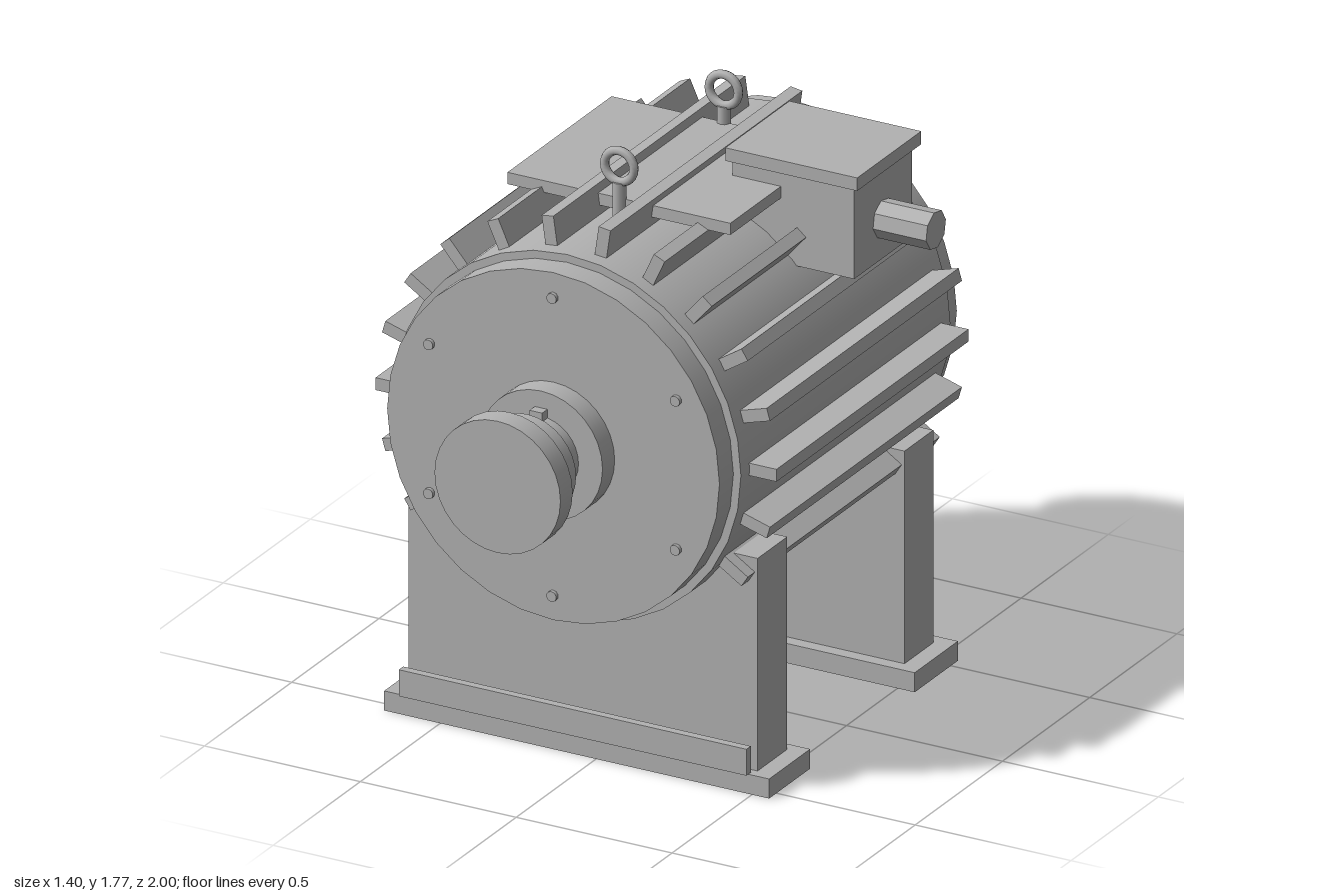
import * as THREE from 'three';

const CX = -0.06, CY = 1.0; // motor axis

export function createModel() {
  const model = new THREE.Group();
  const castGrey = new THREE.MeshStandardMaterial({ color: 0xb2b2b2 });
  castGrey.name = 'castGrey';

  const add = (name, geometry, parent = model) => {
    const mesh = new THREE.Mesh(geometry, castGrey);
    mesh.name = name;
    parent.add(mesh);
    return mesh;
  };
  // Box given by its extents
  const box = (name, x0, x1, y0, y1, z0, z1) =>
    add(name, new THREE.BoxGeometry(x1 - x0, y1 - y0, z1 - z0))
      .position.set((x0 + x1) / 2, (y0 + y1) / 2, (z0 + z1) / 2);
  // Cylinder along z
  const drum = (name, x, y, z0, z1, r, sides = 32) =>
    add(name, new THREE.CylinderGeometry(r, r, Math.abs(z1 - z0), sides).rotateX(Math.PI / 2))
      .position.set(x, y, (z0 + z1) / 2);

  // Housing and end shields
  drum('housing', CX, CY, -0.6, 0.6, 0.557);
  for (const s of [1, -1]) {
    drum('endShield', CX, CY, s * 0.59, s * 0.68, 0.533);
    drum('bearingCap', CX, CY, s * 0.67, s * 0.75, 0.197);
    drum('shaft', CX, CY, s * 0.74, s * 0.84, 0.12);
    drum('couplingHub', CX, CY, s * 0.83, s * 0.94, 0.157);
    drum('couplingFlange', CX, CY, s * 0.93, s * 1.0, 0.202);
    // Shaft key
    const k = [s * 0.74, s * 0.78].sort((a, b) => a - b);
    box('shaftKey', CX - 0.02, CX + 0.02, CY + 0.1, CY + 0.145, k[0], k[1]);
    // Bolts around the shield and behind the coupling flange
    for (let i = 0; i < 6; i++) {
      const a = Math.PI / 6 + i * Math.PI / 3;
      drum('shieldBolt', CX + 0.457 * Math.cos(a), CY + 0.457 * Math.sin(a), s * 0.67, s * 0.692, 0.016, 10);
    }
    for (let i = 0; i < 4; i++) {
      const a = Math.PI / 4 + i * Math.PI / 2;
      drum('couplingBolt', CX + 0.153 * Math.cos(a), CY + 0.153 * Math.sin(a), s * 0.905, s * 0.935, 0.014, 8);
    }
  }

  // Cooling fins around the upper housing
  for (let i = -2; i <= 13; i++) {
    const a = i * Math.PI / 11;
    const fin = add('coolingFin', new THREE.BoxGeometry(0.1, 0.038, 1.1));
    fin.position.set(CX + 0.593 * Math.cos(a), CY + 0.593 * Math.sin(a), 0);
    fin.rotation.z = a;
  }

  // Legs, feet and the front strip
  box('frontLeg', -0.62, 0.5, 0.05, 0.712, 0.34, 0.51);
  box('backLeg', -0.62, 0.5, 0.05, 0.712, -0.497, -0.332);
  box('frontFoot', -0.68, 0.555, 0, 0.06, 0.307, 0.542);
  box('backFoot', -0.68, 0.555, 0, 0.06, -0.54, -0.292);
  box('frontStrip', -0.62, 0.495, 0.066, 0.147, 0.54, 0.565);

  // Top plate
  box('topPlate', -0.42, 0.295, 1.577, 1.613, -0.297, 0.3);

  // Lifting eyes
  for (const z of [0.302, -0.297]) {
    const eye = new THREE.Group();
    eye.name = 'liftingEye';
    eye.position.set(CX, 0, z);
    model.add(eye);
    add('eyeRing', new THREE.TorusGeometry(0.047, 0.0135, 8, 24), eye).position.y = 1.712;
    add('eyeStem', new THREE.CylinderGeometry(0.02, 0.02, 0.12, 10), eye).position.y = 1.605;
  }

  // Terminal box with lid and cable outlet
  box('terminalBox', 0.14, 0.53, 1.38, 1.665, -0.322, 0.01);
  box('terminalLid', 0.125, 0.548, 1.66, 1.7, -0.342, 0.025);
  const outlet = add('cableOutlet',
    new THREE.CylinderGeometry(0.058, 0.058, 0.18, 8).toNonIndexed().rotateZ(-Math.PI / 2));
  outlet.geometry.computeVertexNormals();
  outlet.position.set(0.61, 1.503, -0.155);
  outlet.rotation.x = 0.2;

  return model;
}
